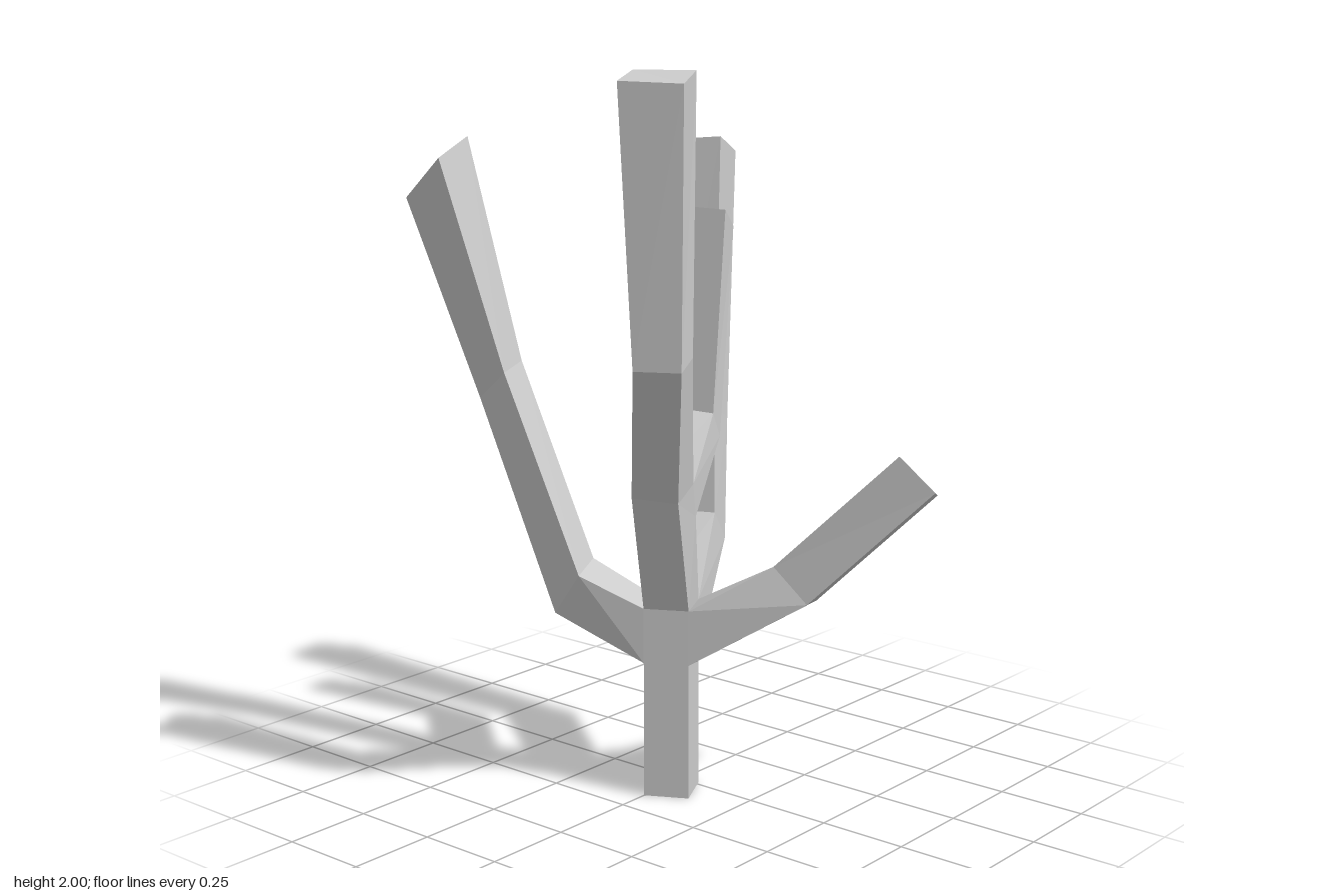
import * as THREE from 'three';

const material = new THREE.MeshStandardMaterial({ color: 0xcccccc, flatShading: true });

// Flat polygons, each a loop of [x, y, z] corners, fanned into triangles
function polygonMesh(name, polygons) {
  const points = [];
  for (const p of polygons)
    for (let i = 1; i < p.length - 1; i++) points.push(...p[0], ...p[i], ...p[i + 1]);
  const geometry = new THREE.BufferGeometry();
  geometry.setAttribute('position', new THREE.Float32BufferAttribute(points, 3));
  geometry.computeVertexNormals();
  const mesh = new THREE.Mesh(geometry, material);
  mesh.name = name;
  return mesh;
}

// Side walls between successive four-cornered sections
function walls(rings) {
  const quads = [];
  for (let i = 0; i < rings.length - 1; i++)
    for (let j = 0; j < 4; j++) {
      const k = (j + 1) % 4;
      quads.push([rings[i][j], rings[i][k], rings[i + 1][k], rings[i + 1][j]]);
    }
  return quads;
}

// A branch: walls closed by its last section
const branch = (name, ...rings) => polygonMesh(name, [...walls(rings), rings[rings.length - 1]]);

export function createModel() {
  const group = new THREE.Group();
  group.name = 'branchingTree';

  // Turned square trunk section at a given height: front, left, back, right corners
  const square = y => [[-0.1, y, 0.11], [0.01, y, 0.055], [-0.047, y, -0.055], [-0.16, y, 0]];
  const base = square(0), low = square(0.385), high = square(0.54);
  const [a0, b0, c0, d0] = low, [a1, b1, c1, d1] = high;

  // Trunk, with the one side of the crown that carries no branch
  group.add(polygonMesh('trunk', [...walls([base, low]), [...base].reverse(), [d0, a0, a1, d1]]));

  // Fork corners of the upper stem
  const fa = [-0.21, 0.87, 0.165], fd = [-0.27, 0.88, 0.055];
  const fb = [-0.07, 0.8, 0.11], fc = [-0.125, 0.8, 0];
  const vf = [-0.105, 0.9, 0.13], vb = [-0.16, 0.9, 0.02];
  group.add(polygonMesh('upperStem', [...walls([high, [fa, fb, fc, fd]]), [fa, fb, vf], [fc, fd, vb]]));

  // Tallest branch, rising from the fork
  group.add(branch('tallBranch',
    [fa, vf, vb, fd],
    [[-0.37, 1.26, 0.31], [-0.265, 1.28, 0.26], [-0.32, 1.28, 0.15], [-0.43, 1.26, 0.2]],
    [[-0.385, 1.975, 0.33], [-0.24, 2, 0.25], [-0.315, 2, 0.105], [-0.46, 1.98, 0.18]]));

  // Small branch on the other side of the fork
  group.add(branch('innerBranch',
    [fb, fc, vb, vf],
    [[0.145, 0.975, 0.02], [0.1, 0.975, -0.075], [0.045, 1.06, -0.06], [0.09, 1.05, 0.04]],
    [[0.207, 1.555, 0.015], [0.143, 1.565, -0.135], [0.05, 1.62, -0.09], [0.115, 1.61, 0.06]]));

  // Short front branch
  group.add(branch('frontBranch',
    [a0, b0, b1, a1],
    [[0.06, 0.575, 0.39], [0.165, 0.555, 0.345], [0.14, 0.65, 0.25], [0.035, 0.67, 0.295]],
    [[0.205, 0.905, 0.695], [0.31, 0.87, 0.635], [0.28, 0.96, 0.54], [0.175, 0.995, 0.6]]));

  // Branch on the left side
  group.add(branch('leftBranch',
    [b0, c0, c1, b1],
    [[0.295, 0.635, -0.08], [0.24, 0.62, -0.185], [0.165, 0.73, -0.16], [0.21, 0.73, -0.05]],
    [[0.347, 0.98, -0.115], [0.29, 0.97, -0.23], [0.19, 1.02, -0.195], [0.237, 1.03, -0.075]],
    [[0.457, 1.735, -0.177], [0.4, 1.725, -0.318], [0.257, 1.775, -0.26], [0.317, 1.787, -0.12]]));

  // Back branch
  group.add(branch('backBranch',
    [c0, d0, d1, c1],
    [[-0.13, 0.53, -0.285], [-0.245, 0.5, -0.25], [-0.24, 0.62, -0.165], [-0.13, 0.64, -0.21]],
    [[-0.175, 1.1, -0.522], [-0.283, 1.085, -0.49], [-0.283, 1.165, -0.395], [-0.175, 1.18, -0.432]],
    [[-0.24, 1.68, -0.7], [-0.382, 1.635, -0.66], [-0.382, 1.75, -0.53], [-0.232, 1.798, -0.57]]));

  return group;
}
